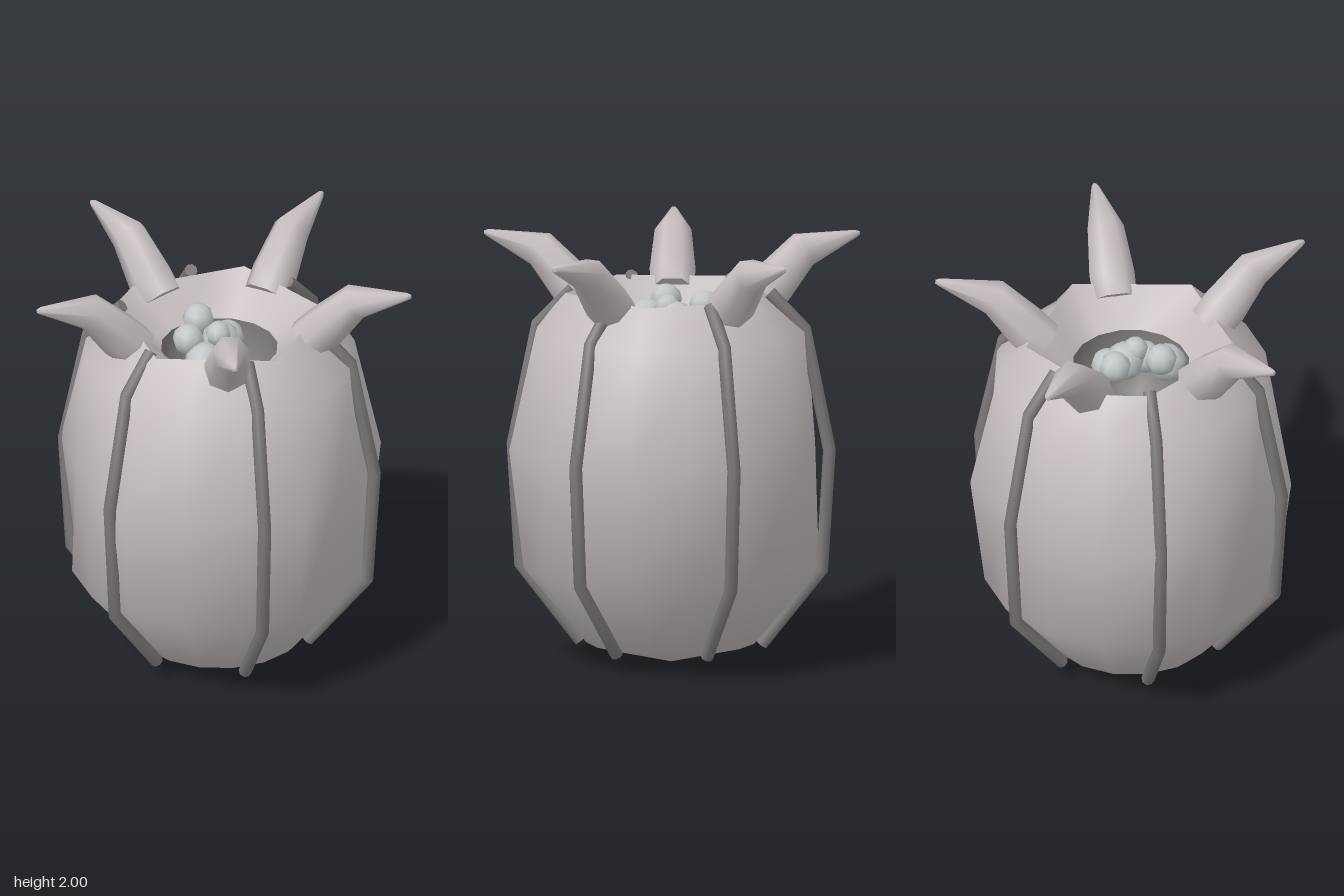
import * as THREE from 'three';
import { toCreasedNormals } from 'three/addons/utils/BufferGeometryUtils.js';

const SIDES = 16;
const DEG = Math.PI / 180;
const mat = (color) => new THREE.MeshStandardMaterial({ color, side: THREE.DoubleSide });
const shellMat = mat(0xc6bebe);
const ribMat = mat(0x7c7878);
const eggMat = mat(0xc0c6c6);

// Surface through rows of points that close around
function loft(rows, flip) {
  const n = rows[0].length, pos = [], idx = [];
  rows.forEach((row) => row.forEach((p) => pos.push(p.x, p.y, p.z)));
  for (let i = 0; i < rows.length - 1; i++) {
    for (let j = 0; j < n; j++) {
      const a = i * n + j, b = i * n + (j + 1) % n, c = a + n, d = b + n;
      if (flip) idx.push(a, c, b, b, c, d);
      else idx.push(a, b, c, b, d, c);
    }
  }
  const geo = new THREE.BufferGeometry();
  geo.setAttribute('position', new THREE.Float32BufferAttribute(pos, 3));
  geo.setIndex(idx);
  geo.computeVertexNormals();
  return geo;
}

// Tapered sweep along a bent path in the x-y plane: points are [x, y, radius]
function sweep(path, sides) {
  const pts = path.map(([x, y]) => new THREE.Vector2(x, y));
  const rows = pts.map((p, i) => {
    const t = new THREE.Vector2();
    if (i > 0) t.add(p.clone().sub(pts[i - 1]).normalize());
    if (i < pts.length - 1) t.add(pts[i + 1].clone().sub(p).normalize());
    t.normalize();
    return Array.from({ length: sides }, (_, j) => {
      const a = ((j + 0.5) / sides) * Math.PI * 2, r = path[i][2];
      return new THREE.Vector3(p.x - t.y * r * Math.cos(a), p.y + t.x * r * Math.cos(a), r * Math.sin(a));
    });
  });
  // Close both ends
  const centre = (i) => rows[i].map(() => new THREE.Vector3(pts[i].x, pts[i].y, 0));
  const all = [centre(0), ...rows, centre(rows.length - 1)];
  return toCreasedNormals(loft(all, false), 65 * DEG);
}

// Point on a ring, measured from the back
const ringPoint = (r, y, deg) => new THREE.Vector3(r * Math.sin(deg * DEG), y, -r * Math.cos(deg * DEG));

// Ring with radius given by a rule of the angle
const ring = (y, radius) => Array.from({ length: SIDES }, (_, j) => {
  const deg = (j * 360) / SIDES;
  return ringPoint(radius(deg), y, deg);
});
const round = (r, y) => ring(y, () => r);

// Uneven corner angles of the pod
const CORNERS = [0, 67.5, 135, 202.5, 270, 292.5, 360];

// Ring that bulges at the corners only
const knobbed = (r, low, y) => ring(y, (deg) => (CORNERS.includes(deg) ? r : low));

// Ring cut straight between the corners
const cut = (r, y) => ring(y, (deg) => {
  const k = CORNERS.findIndex((c, i) => deg >= c && deg < CORNERS[i + 1]);
  const half = (CORNERS[k + 1] - CORNERS[k]) / 2;
  return (r * Math.cos(half * DEG)) / Math.cos((deg - CORNERS[k] - half) * DEG);
});

export function createModel() {
  const model = new THREE.Group();
  const pod = new THREE.Group();
  pod.name = 'pod';
  pod.position.x = -0.075;
  model.add(pod);
  const add = (geo, material, name, angle = 0) => {
    const mesh = new THREE.Mesh(geo, material);
    mesh.name = name;
    mesh.rotation.y = angle;
    pod.add(mesh);
    return mesh;
  };

  // Outer shell with rounded shading
  const shell = loft([
    round(0, 0), round(0.4, 0.1), round(0.697, 0.46),
    knobbed(0.765, 0.68, 1.02), round(0.64, 1.58), cut(0.5, 1.76),
  ], true);
  const p = shell.attributes.position, v = new THREE.Vector3();
  for (let i = 0; i < p.count; i++) {
    v.set(p.getX(i) / 0.6, p.getY(i) - 1, p.getZ(i) / 0.6).normalize();
    shell.attributes.normal.setXYZ(i, v.x, v.y, v.z);
  }
  add(shell, shellMat, 'shell');

  // Sloping mouth and the bowl inside it
  add(loft([cut(0.5, 1.76), round(0.275, 1.6)], true), shellMat, 'mouth');
  add(loft([round(0.275, 1.6), round(0.27, 1.48), round(0.18, 1.32), round(0, 1.26)], true), ribMat, 'bowl');

  // Six ribs running up the shell
  const R = 0.031;
  const rib = sweep([[0.425, 0.09, R], [0.71, 0.45, R], [0.745, 1.02, R], [0.63, 1.59, R], [0.465, 1.76, R]], 8);
  for (let i = 0; i < 6; i++) add(rib, ribMat, 'rib', i * 60 * DEG);

  // Five bent horns around the mouth
  const horn = sweep([[0.415, 1.685, 0.106], [0.5, 1.765, 0.11], [0.65, 1.922, 0.088], [0.905, 1.984, 0.018], [0.922, 1.986, 0.009]], 7);
  for (let i = 0; i < 5; i++) add(horn, shellMat, 'horn', i * 72 * DEG);

  // Cluster of eggs in the mouth: x, y, z, radius
  const eggs = [
    [-0.125, 1.68, -0.1, 0.075], [0.015, 1.6, -0.11, 0.077], [0, 1.62, -0.03, 0.092],
    [0.07, 1.58, 0.08, 0.077], [-0.12, 1.69, 0.12, 0.075], [-0.035, 1.61, 0.165, 0.09],
    [0, 1.68, 0.02, 0.06],
  ];
  for (const [x, y, z, r] of eggs) add(new THREE.SphereGeometry(r, 8, 6), eggMat, 'egg').position.set(x, y, z);

  return model;
}
